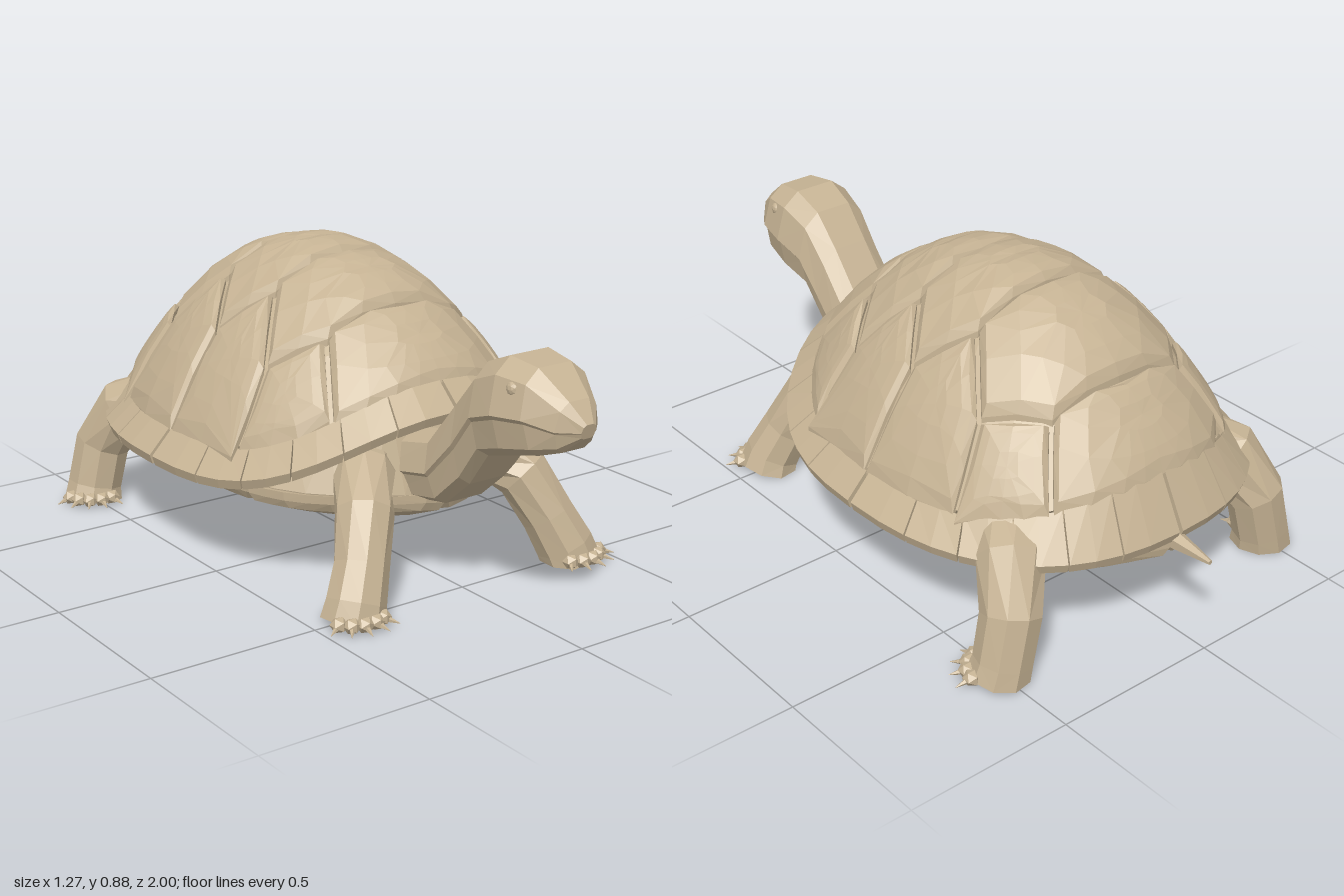
import * as THREE from 'three';

const skin = new THREE.MeshStandardMaterial({ color: 0xc6b394, flatShading: true });
const V = (x, y, z) => new THREE.Vector3(x, y, z);
const N = 2.4, ZC = -0.2, APEX = 0.874;
const CORE = V(0, 0.2, ZC);

// Closed, flat-faced solid through rings of equal point count; quads fold outward from the body core,
// and winding is fixed by signed volume
function loft(rings) {
  const tris = [], n = rings[0].length, last = rings.length - 1;
  const mid = r => r.reduce((s, p) => s.add(p), V(0, 0, 0)).divideScalar(r.length);
  const m0 = mid(rings[0]), m1 = mid(rings[last]);
  const bulge = (p, q) => mid([p, q]).distanceTo(CORE);
  for (let j = 0; j < n; j++) {
    const k = (j + 1) % n;
    tris.push([m0, rings[0][k], rings[0][j]], [m1, rings[last][j], rings[last][k]]);
    for (let i = 0; i < last; i++) {
      const a = rings[i], b = rings[i + 1];
      if (bulge(a[k], b[j]) > bulge(a[j], b[k])) tris.push([a[j], a[k], b[j]], [a[k], b[k], b[j]]);
      else tris.push([a[j], a[k], b[k]], [a[j], b[k], b[j]]);
    }
  }
  const volume = tris.reduce((s, [a, b, c]) => s + a.clone().sub(m0).dot(b.clone().sub(m0).cross(c.clone().sub(m0))), 0);
  const pts = tris.flatMap(t => (volume < 0 ? [t[0], t[2], t[1]] : t));
  const g = new THREE.BufferGeometry().setFromPoints(pts);
  g.computeVertexNormals();
  return g;
}

// Round limb along [x, y, z, radius] stations
function limb(stations, sides) {
  const P = stations.map(s => V(s[0], s[1], s[2]));
  return loft(P.map((p, i) => {
    const t = P[Math.min(i + 1, P.length - 1)].clone().sub(P[Math.max(i - 1, 0)]).normalize();
    const u = (Math.abs(t.z) > 0.9 ? V(1, 0, 0) : V(0, 0, 1)).cross(t).normalize();
    const v = t.clone().cross(u);
    return Array.from({ length: sides }, (_, j) => {
      const a = (j / sides) * Math.PI * 2, r = stations[i][3];
      const q = p.clone().addScaledVector(u, r * Math.cos(a)).addScaledVector(v, r * Math.sin(a));
      q.y = Math.max(0, q.y);
      return q;
    });
  }));
}

// Shell plan is a superellipse: radius fraction, outline point and heights
const reach = (z, f, b) => (z > 0 ? f : b);
const shellFrac = (x, z) =>
  (Math.abs(x / 0.53) ** N + Math.abs((z - ZC) / reach(z - ZC, 0.6, 0.62)) ** N) ** (1 / N);
function outline(t, a, f, b, s = 1) {
  const w = v => Math.sign(v) * Math.abs(v) ** (2 / N);
  const c = w(Math.cos(t)), d = w(Math.sin(t));
  return { x: s * a * c, z: ZC + s * reach(d, f, b) * d, d };
}
const rimY = d => 0.38 + (d > 0 ? 0.2 : 0.09) * d ** 4;
const edgeY = d => 0.30 + (d > 0 ? 0.2 : 0.01) * d ** 4;
function domeY(x, z) {
  const s = shellFrac(x, z);
  const d = s > 0.001 ? (z - ZC) / reach(z - ZC, 0.6, 0.62) / s : 0;
  const r = rimY(Math.max(-1, Math.min(1, d)));
  return r + (APEX - r) * (1 - Math.min(s, 1) ** 2.2);
}
const bellyY = (x, z) => 0.125 + 0.13 * Math.abs(x / 0.5) ** 1.2 + 0.1 * ((z - ZC) / 0.64) ** 4;

// Bevelled plate laid over a height field; dir is +1 for upward plates, -1 for downward
function plate(poly, height, dir, snap) {
  const pts = [];
  poly.forEach((p, i) => {
    const q = poly[(i + 1) % poly.length];
    const onRim = snap && shellFrac(...p) > 0.9 && shellFrac(...q) > 0.9;
    for (let k = 0; k < 2; k++) {
      let x = p[0] + (q[0] - p[0]) * k / 2, z = p[1] + (q[1] - p[1]) * k / 2;
      if (onRim) {
        const s = shellFrac(x, z);
        x /= s; z = ZC + (z - ZC) / s;
      }
      pts.push([x, z]);
    }
  });
  const cx = pts.reduce((s, p) => s + p[0], 0) / pts.length;
  const cz = pts.reduce((s, p) => s + p[1], 0) / pts.length;
  const ring = (scale, inset, lift) => pts.map(([x, z]) => {
    const k = scale * (1 - inset / Math.hypot(x - cx, z - cz));
    const px = cx + (x - cx) * k, pz = cz + (z - cz) * k;
    return V(px, height(px, pz) + lift * dir, pz);
  });
  return loft([ring(1, 0.006, -0.04), ring(1, 0.008, -0.016), ring(1, 0.024, 0.004), ring(0.6, 0, 0.008), ring(0.25, 0, 0.01)]);
}

export function createModel() {
  const model = new THREE.Group();
  const add = (name, geometry, parent = model) => {
    const m = new THREE.Mesh(geometry, skin);
    m.name = name;
    parent.add(m);
    return m;
  };
  const group = name => {
    const g = new THREE.Group();
    g.name = name;
    model.add(g);
    return g;
  };
  const around = fn => Array.from({ length: 32 }, (_, i) => fn((i / 32) * Math.PI * 2));

  // Body core filling the space under the plates
  const belly = (s, lift) => around(t => {
    const p = outline(t, 0.5, 0.63, 0.66, s);
    return V(p.x, bellyY(p.x, p.z) + lift, p.z);
  });
  const dome = s => around(t => {
    const p = outline(t, 0.53, 0.6, 0.62, s);
    return V(p.x, domeY(p.x, p.z) - 0.03, p.z);
  });
  const underRim = around(t => {
    const p = outline(t, 0.53, 0.6, 0.62, 0.88);
    return V(p.x, rimY(p.d) - 0.06, p.z);
  });
  add('body', loft([belly(0.05, 0.018), belly(0.35, 0.018), belly(0.7, 0.018), belly(0.95, 0.018), belly(0.96, 0.045), underRim,
    dome(0.97), dome(0.75), dome(0.5), dome(0.25), dome(0.03)]));

  // Central row of scutes: half outlines, mirrored across x
  const scutes = group('shellScutes');
  const rows = [
    [[0, 0.39], [0.15, 0.37], [0.31, 0.31], [0.23, 0.17], [0, 0.185]],
    [[0, 0.185], [0.23, 0.17], [0.36, 0.06], [0.24, -0.075], [0, -0.07]],
    [[0, -0.07], [0.24, -0.075], [0.36, -0.195], [0.24, -0.325], [0, -0.335]],
    [[0, -0.335], [0.24, -0.325], [0.35, -0.47], [0.23, -0.62], [0, -0.635]],
    [[0, -0.635], [0.23, -0.62], [0.31, -0.71], [0.14, -0.8], [0, -0.82]],
  ];
  rows.forEach(h => add('centralScute',
    plate([...h, ...h.slice(1, -1).reverse().map(([x, z]) => [-x, z])], domeY, 1, true), scutes));

  // Side scutes
  const sideRows = [
    [[0.31, 0.31], [0.23, 0.17], [0.36, 0.06], [0.51, 0.11], [0.45, 0.2]],
    [[0.36, 0.06], [0.24, -0.075], [0.36, -0.195], [0.53, -0.19], [0.51, 0.11]],
    [[0.36, -0.195], [0.24, -0.325], [0.35, -0.47], [0.495, -0.53], [0.53, -0.19]],
    [[0.35, -0.47], [0.23, -0.62], [0.31, -0.71], [0.42, -0.64], [0.495, -0.53]],
  ];
  for (const side of [1, -1])
    sideRows.forEach(h => add('sideScute', plate(h.map(([x, z]) => [x * side, z]), domeY, 1, true), scutes));

  // Flared rim plates
  const rim = group('shellRim');
  const count = 24;
  for (let i = 0; i < count; i++) {
    const sections = [0.015, 0.5, 0.985].map(k => {
      const t = ((i + k) / count) * Math.PI * 2 + Math.PI / 2;
      const p = outline(t, 0.53, 0.6, 0.62, 0.985), q = outline(t, 0.588, 0.67, 0.69);
      const top = rimY(p.d), low = edgeY(p.d);
      return [V(p.x, top, p.z), V(q.x, low + 0.01, q.z), V(q.x * 0.985, low - 0.018, ZC + (q.z - ZC) * 0.985),
        V(p.x * 0.95, top - 0.06, ZC + (p.z - ZC) * 0.95)];
    });
    add('rimPlate', loft(sections), rim);
  }

  // Belly plates in two columns
  const bellyGroup = group('bellyPlates');
  for (const side of [1, -1])
    for (let i = 0; i < 4; i++) {
      const z0 = -0.86 + i * 0.322, poly = [[0, z0 + 0.322], [0, z0]];
      for (let k = 0; k <= 3; k++) {
        const z = z0 + k * 0.322 / 3;
        const x = 0.5 * Math.max(0, 1 - Math.abs((z - ZC) / reach(z - ZC, 0.63, 0.66)) ** N) ** (1 / N);
        if (x > 0.02) poly.push([x * side, z]);
      }
      add('bellyPlate', plate(poly, bellyY, -1, false), bellyGroup);
    }

  // Neck and head: stations of [top z, top y, bottom z, bottom y, half width]
  const head = [
    [0.25, 0.42, 0.3, 0.23, 0.13], [0.46, 0.47, 0.5, 0.265, 0.125], [0.58, 0.615, 0.6, 0.35, 0.123],
    [0.665, 0.71, 0.68, 0.455, 0.13], [0.76, 0.75, 0.78, 0.485, 0.142], [0.86, 0.738, 0.88, 0.51, 0.122],
    [0.955, 0.668, 0.94, 0.53, 0.074], [1.0, 0.615, 0.99, 0.575, 0.025],
  ];
  const half = [[0.45, 1], [0.82, 0.84], [1, 0.45], [0.92, 0.4], [0.8, 0.1], [0.5, 0]];
  const section = [...half, ...half.map(([u, v]) => [-u, v]).reverse()];
  add('neckAndHead', loft(head.map(([tz, ty, bz, by, w]) =>
    section.map(([u, v]) => V(u * w, by + (ty - by) * v, bz + (tz - bz) * v)))));
  for (const side of [1, -1]) {
    const eye = add('eye', new THREE.IcosahedronGeometry(0.02, 1));
    eye.position.set(side * 0.106, 0.682, 0.82);
    eye.scale.x = 0.7;
  }

  // Legs with toes and claws; heading is the angle of the foot from +z towards the outside
  const legs = [
    ['frontLeg', 0.2, [[0.12, 0.33, 0.2, 0.09], [0.21, 0.325, 0.32, 0.088], [0.28, 0.26, 0.42, 0.083],
      [0.33, 0.14, 0.475, 0.078], [0.37, 0.05, 0.505, 0.085], [0.385, 0, 0.51, 0.092]]],
    ['backLeg', 0.6, [[0.32, 0.34, -0.55, 0.1], [0.41, 0.3, -0.67, 0.095], [0.46, 0.18, -0.735, 0.085],
      [0.49, 0.05, -0.74, 0.083], [0.5, 0, -0.735, 0.09]]],
  ];
  for (const side of [1, -1])
    for (const [name, heading, stations] of legs) {
      const leg = group(name);
      add('limb', limb(stations.map(([x, ...r]) => [x * side, ...r]), 9), leg);
      const [fx, , fz] = stations[stations.length - 1];
      for (let i = -2; i <= 2; i++) {
        const a = heading + i * 0.42, dx = Math.sin(a) * side, dz = Math.cos(a);
        const toe = add('toe', new THREE.IcosahedronGeometry(0.026, 0), leg);
        toe.position.set(side * fx + dx * 0.085, 0.024, fz + dz * 0.085);
        toe.scale.y = 0.9;
        add('claw', limb([[side * fx + dx * 0.09, 0.022, fz + dz * 0.09, 0.011],
          [side * fx + dx * 0.135, 0.012, fz + dz * 0.135, 0.001]], 5), leg);
      }
    }

  // Tail
  add('tail', limb([[0, 0.295, -0.74, 0.045], [0, 0.285, -0.87, 0.028], [0, 0.28, -1, 0.007]], 6));
  return model;
}
